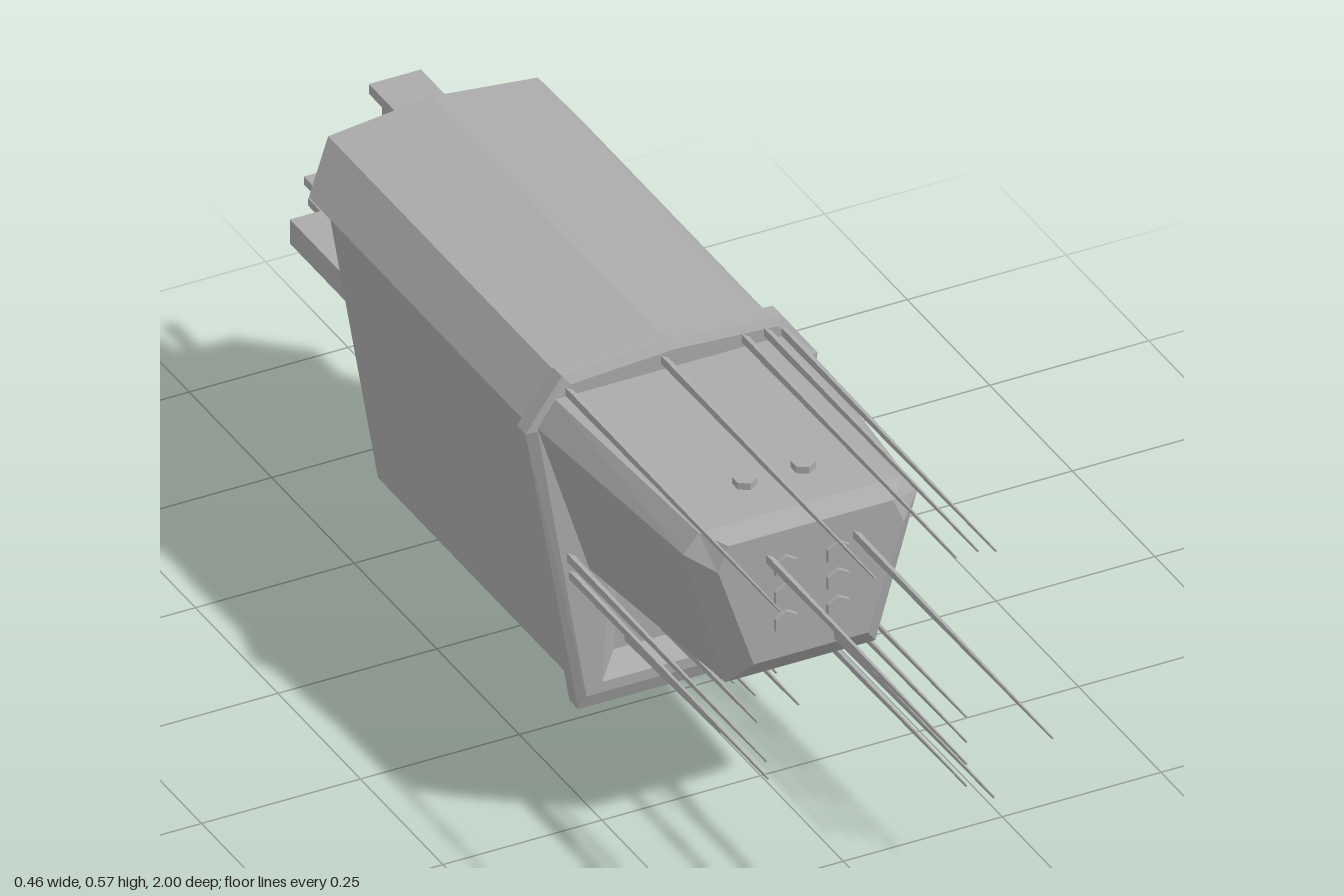
import * as THREE from 'three';

const grey = new THREE.MeshStandardMaterial({ color: 0xaaaaaa, flatShading: true });
grey.name = 'grey';

// Mirrors a right-hand half outline (bottom to top) into a closed anticlockwise one
const sym = (half) => [
  ...half,
  ...half.filter(([x]) => x > 0).reverse().map(([x, y]) => [-x, y]),
];
// Places an outline in space; z is a number or a function of y
const ring = (half, z) => sym(half).map(([x, y]) => [x, y, typeof z === 'function' ? z(y) : z]);

// Skins successive rings, with optional caps on the first and last
function loft(rings, capStart = true, capEnd = true) {
  const pos = [];
  const tri = (a, b, c) => pos.push(...a, ...b, ...c);
  for (let k = 0; k < rings.length - 1; k++) {
    const r = rings[k], s = rings[k + 1], n = r.length;
    for (let i = 0; i < n; i++) {
      const j = (i + 1) % n;
      tri(r[i], r[j], s[j]);
      tri(r[i], s[j], s[i]);
    }
  }
  const first = rings[0], last = rings[rings.length - 1];
  for (let i = 1; i < first.length - 1; i++) {
    if (capStart) tri(first[0], first[i + 1], first[i]);
    if (capEnd) tri(last[0], last[i], last[i + 1]);
  }
  const g = new THREE.BufferGeometry();
  g.setAttribute('position', new THREE.Float32BufferAttribute(pos, 3));
  g.computeVertexNormals();
  return g;
}

export function createModel() {
  const model = new THREE.Group();
  model.name = 'model';
  const add = (name, geometry, x = 0, y = 0, z = 0, parent = model) => {
    const m = new THREE.Mesh(geometry, grey);
    m.name = name;
    m.position.set(x, y, z);
    parent.add(m);
    return m;
  };
  const group = (name) => {
    const g = new THREE.Group();
    g.name = name;
    model.add(g);
    return g;
  };

  // Rear hull, tapering towards its floor
  const hull = [[0.14, 0.03], [0.215, 0.48]];
  add('rearHull', loft([ring(hull, -0.64), ring(hull, -0.05)]));

  // Roof overhanging the back wall, with a slanted end
  const roof = [[0.215, 0.48], [0.165, 0.545], [0, 0.558]];
  add('roof', loft([ring(roof, (y) => -0.705 - (y - 0.48) * 0.58), ring(roof, -0.05)]));

  // Bevelled collar with a sunken panel in its front face
  const outer = [[0.147, 0], [0.23, 0.48], [0.173, 0.56], [0, 0.57]];
  const inner = [[0.138, 0.023], [0.215, 0.485], [0.163, 0.548], [0, 0.558]];
  const mouth = [[0.113, 0.04], [0.103, 0.207]];
  const floor = [[0.079, 0.066], [0.073, 0.183]];
  add('collar', loft([
    ring(inner, -0.054), ring(outer, -0.046), ring(outer, -0.02), ring(inner, -0.012),
  ], true, false));
  const toVec = ([x, y]) => new THREE.Vector2(x, y);
  const face = new THREE.Shape(sym(inner).map(toVec));
  face.holes.push(new THREE.Path(sym(mouth).map(toVec)));
  add('collarFace', new THREE.ShapeGeometry(face), 0, 0, -0.012);
  add('sunkenPanel', loft([ring(mouth, -0.012), ring(floor, -0.044)], false, true));

  // Front block with a chamfered nose
  add('frontBlock', loft([
    ring([[0.133, 0.233], [0.215, 0.49], [0.187, 0.53]], -0.012),
    ring([[0.118, 0.258], [0.184, 0.488], [0.16, 0.518]], 0.37),
    ring([[0.09, 0.297], [0.146, 0.465], [0.13, 0.505]], 0.402),
  ]));

  // Hexagonal pegs on the nose, studs above and below the block
  const pegs = group('pegs');
  const pegGeo = new THREE.CylinderGeometry(0.02, 0.02, 0.02, 6).rotateX(Math.PI / 2);
  const studs = group('studs');
  const studGeo = new THREE.CylinderGeometry(0.018, 0.018, 0.016, 6);
  for (const x of [-0.041, 0.041]) {
    for (const y of [0.355, 0.4, 0.446]) add('peg', pegGeo, x, y, 0.399, pegs);
  }
  for (const x of [-0.046, 0.046]) {
    add('topStud', studGeo, x, 0.523, 0.29, studs);
    add('bottomStud', studGeo, x, 0.25, 0.29, studs);
  }

  // Needles pointing forward: tip z, then base positions
  const needles = group('needles');
  const sets = [
    [1.0, 0.38, [[-0.067, 0.467], [0.07, 0.467]]],
    [0.88, 0.38, [[0.04, 0.31]]],
    [0.63, -0.02, [[-0.167, 0.538], [-0.017, 0.547], [0.11, 0.545], [0.145, 0.545], [0.173, 0.537]]],
    [0.585, -0.02, [[-0.165, 0.263], [-0.162, 0.233], [0.15, 0.243], [0.15, 0.202], [0.15, 0.165], [0.15, 0.129]]],
    [0.24, -0.045, [[-0.037, 0.159], [0.03, 0.156], [0.065, 0.167], [-0.003, 0.128], [-0.058, 0.083], [0, 0.083], [0.065, 0.093]]],
  ];
  for (const [tip, base, spots] of sets) {
    const geo = new THREE.CylinderGeometry(0.002, 0.008, tip - base, 3)
      .rotateX(Math.PI / 2).rotateZ(Math.PI / 2);
    for (const [x, y] of spots) add('needle', geo, x, y, (tip + base) / 2, needles);
  }

  // Plates sticking out of the back wall: x from, x to, y, thickness, end z
  const plates = group('rearPlates');
  for (const [x0, x1, y, t, end] of [
    [-0.04, 0.042, 0.52, 0.016, -0.86],
    [-0.03, 0.04, 0.492, 0.014, -0.84],
    [0, 0.06, 0.427, 0.013, -0.82],
    [-0.145, 0, 0.402, 0.013, -0.855],
    [-0.172, 0.035, 0.331, 0.04, -0.845],
    [-0.063, -0.047, 0.26, 0.012, -1.0],
    [0.05, 0.15, 0.195, 0.013, -0.765],
    [0.045, 0.125, 0.13, 0.015, -0.76],
    [-0.03, 0.08, 0.103, 0.015, -0.74],
  ]) {
    const len = -0.62 - end;
    add('rearPlate', new THREE.BoxGeometry(x1 - x0, t, len), (x0 + x1) / 2, y, end + len / 2, plates);
  }
  return model;
}
